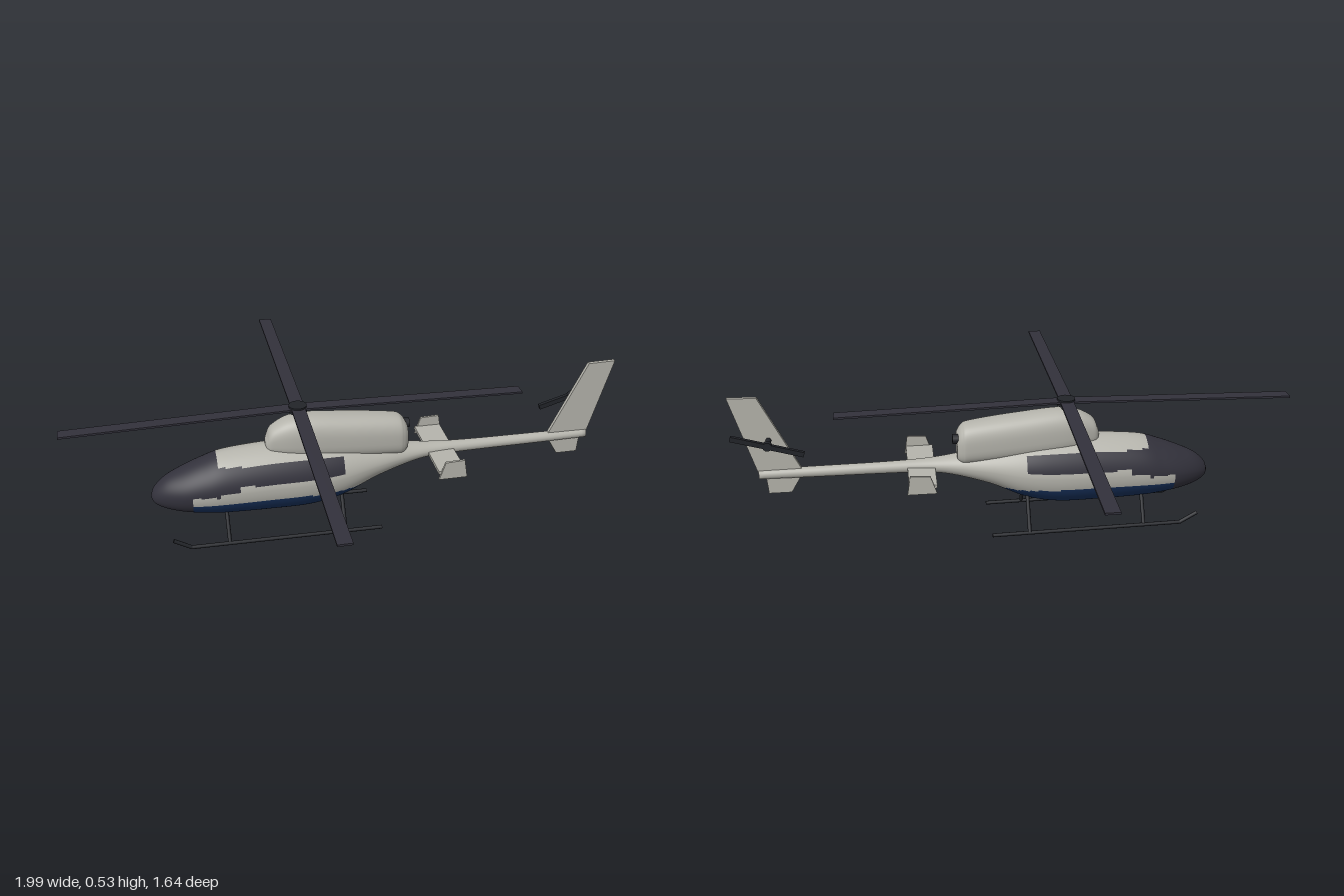
import * as THREE from 'three';

const mat = (name, color) => Object.assign(new THREE.MeshStandardMaterial({ color }), { name });

// Smooth hull through cross-sections [x, top, bottom, halfWidth]; paint() picks a material index per face
function loft(stations, steps, sides, upperPower, lowerPower, paint = () => 0) {
  const heights = new THREE.CatmullRomCurve3(stations.map(([x, t, b]) => new THREE.Vector3(x, t, b)), false, 'catmullrom', 0.5);
  const widths = new THREE.CatmullRomCurve3(stations.map(([x, , , w]) => new THREE.Vector3(x, w, 0)), false, 'catmullrom', 0.5);
  const pos = [], faces = [[], [], []];
  const bend = (v, p) => Math.sign(v) * Math.abs(v) ** (2 / p);
  for (let i = 0; i <= steps; i++) {
    const h = heights.getPoint(i / steps), w = widths.getPoint(i / steps).y;
    for (let j = 0; j < sides; j++) {
      const a = (j / sides) * Math.PI * 2, p = Math.sin(a) >= 0 ? upperPower : lowerPower;
      pos.push(h.x, (h.y + h.z) / 2 + bend(Math.sin(a), p) * (h.y - h.z) / 2, bend(Math.cos(a), p) * w);
    }
  }
  const first = stations[0], last = stations[stations.length - 1];
  const c0 = pos.length / 3, c1 = c0 + 1;
  for (const s of [first, last]) pos.push(s[0], (s[1] + s[2]) / 2, 0);
  const add = (...ids) => {
    const mean = (k) => ids.reduce((sum, id) => sum + pos[id * 3 + k], 0) / ids.length;
    const list = faces[paint(mean(0), mean(1), mean(2))];
    list.push(ids[0], ids[1], ids[2]);
    if (ids.length === 4) list.push(ids[0], ids[2], ids[3]);
  };
  for (let j = 0; j < sides; j++) {
    const k = (j + 1) % sides, e = steps * sides;
    for (let i = 0; i < steps; i++) add(i * sides + j, (i + 1) * sides + j, (i + 1) * sides + k, i * sides + k);
    add(c0, j, k);
    add(c1, e + k, e + j);
  }
  const geo = new THREE.BufferGeometry();
  geo.setAttribute('position', new THREE.Float32BufferAttribute(pos, 3));
  geo.setIndex(faces.flat());
  let start = 0;
  faces.forEach((f, m) => { if (f.length) geo.addGroup(start, f.length, m); start += f.length; });
  geo.computeVertexNormals();
  return geo;
}

// Flat plate cut in the xy plane, centred on z = 0
function plate(points, depth) {
  const shape = new THREE.Shape(points.map(([x, y]) => new THREE.Vector2(x, y)));
  return new THREE.ExtrudeGeometry(shape, { depth, bevelEnabled: false }).translate(0, 0, -depth / 2);
}

export function createModel() {
  const model = new THREE.Group();
  const grey = mat('light grey paint', 0xb5b4ac);
  const charcoal = mat('charcoal glass and blades', 0x32313b);
  const navy = mat('navy paint', 0x17305a);
  const black = mat('black metal', 0x222429);

  const put = (name, geo, material, x = 0, y = 0, z = 0, parent = model) => {
    const mesh = new THREE.Mesh(geo, material);
    mesh.name = name;
    mesh.position.set(x, y, z);
    parent.add(mesh);
    return mesh;
  };
  const rod = (name, from, to, r, material) => {
    const a = new THREE.Vector3(...from), b = new THREE.Vector3(...to), d = b.clone().sub(a);
    const mesh = put(name, new THREE.CylinderGeometry(r, r, d.length(), 12), material);
    mesh.position.copy(a).add(b).multiplyScalar(0.5);
    mesh.quaternion.setFromUnitVectors(new THREE.Vector3(0, 1, 0), d.normalize());
  };

  // Cabin and tail boom: glazed nose, side windows, navy belly
  const paintBody = (x, y) => {
    if (x < -0.57) return 1;
    if (x < -0.475 && y > 0.198) return 1;
    if (x < -0.405 && y > 0.212 && y < 0.293) return 1;
    if (x < -0.035 && y > 0.232 && y < 0.293) return 1;
    return x < 0.1 && y < 0.163 ? 2 : 0;
  };
  put('fuselage', loft([
    [-0.713, 0.174, 0.164, 0.005], [-0.7, 0.205, 0.142, 0.03], [-0.66, 0.241, 0.122, 0.06],
    [-0.6, 0.27, 0.107, 0.087], [-0.53, 0.298, 0.096, 0.103], [-0.45, 0.322, 0.088, 0.112],
    [-0.3, 0.335, 0.083, 0.115], [-0.15, 0.335, 0.084, 0.114], [-0.03, 0.325, 0.109, 0.103],
    [0.1, 0.301, 0.168, 0.075], [0.25, 0.277, 0.211, 0.04], [0.36, 0.268, 0.22, 0.026],
    [0.5, 0.264, 0.222, 0.021], [0.7, 0.262, 0.223, 0.02], [0.913, 0.26, 0.225, 0.018],
  ], 168, 96, 1.8, 2.1, paintBody), [grey, charcoal, navy]);

  // Engine cowl and exhaust
  put('engineCowl', loft([
    [-0.3, 0.345, 0.32, 0.012], [-0.294, 0.365, 0.315, 0.03], [-0.27, 0.405, 0.3, 0.045],
    [-0.18, 0.438, 0.28, 0.062], [0, 0.425, 0.265, 0.066], [0.16, 0.405, 0.255, 0.062],
    [0.195, 0.392, 0.255, 0.056], [0.212, 0.368, 0.268, 0.043], [0.214, 0.36, 0.273, 0.038],
  ], 64, 48, 2.5, 3), [grey]);
  rod('exhaust', [0.19, 0.35, -0.022], [0.23, 0.35, -0.022], 0.018, black);

  // Main rotor: four drooping blades
  const rotor = new THREE.Group();
  rotor.name = 'mainRotor';
  rotor.position.set(-0.18, 0, 0);
  model.add(rotor);
  put('mast', new THREE.CylinderGeometry(0.017, 0.017, 0.05, 20), black, 0, 0.45, 0, rotor);
  put('hub', new THREE.CylinderGeometry(0.032, 0.032, 0.026, 24), black, 0, 0.464, 0, rotor);
  for (let i = 0; i < 4; i++) {
    const arm = new THREE.Group();
    arm.name = 'bladeArm';
    arm.rotation.y = (i * Math.PI) / 2;
    rotor.add(arm);
    put('rotorBlade', new THREE.BoxGeometry(0.81, 0.007, 0.048), charcoal, 0.415, 0.459, 0, arm).rotation.z = -0.022;
  }

  // Tail fins
  put('upperFin', plate([[0.76, 0.25], [0.915, 0.25], [0.995, 0.535], [0.895, 0.533]], 0.014), grey);
  put('lowerFin', plate([[0.765, 0.235], [0.805, 0.168], [0.885, 0.168], [0.89, 0.235]], 0.014), grey);

  // Tail rotor on the right side
  rod('tailRotorShaft', [0.868, 0.374, 0], [0.868, 0.374, -0.064], 0.01, black);
  rod('tailRotorHub', [0.868, 0.374, -0.047], [0.868, 0.374, -0.066], 0.016, black);
  put('tailRotorBlades', new THREE.BoxGeometry(0.255, 0.018, 0.014), black, 0.868, 0.374, -0.059).rotation.z = 0.287;

  // Stabiliser with end plates
  put('stabiliser', new THREE.BoxGeometry(0.098, 0.012, 0.34), grey, 0.343, 0.24, 0);
  const endPlate = plate([[0.295, 0.215], [0.398, 0.215], [0.387, 0.284], [0.317, 0.281]], 0.009);

  // Paired parts: end plates, skids and struts
  for (const s of [1, -1]) {
    put('endPlate', endPlate, grey, 0, 0, s * 0.17);
    const z = s * 0.127;
    rod('skidTube', [-0.59, 0.018, z], [0.1, 0.009, z], 0.007, black);
    rod('skidToe', [-0.588, 0.017, z], [-0.652, 0.054, z], 0.007, black);
    put('skidBend', new THREE.SphereGeometry(0.007, 12, 8), black, -0.589, 0.018, z);
    for (const x of [-0.455, -0.035]) rod('skidStrut', [x, 0.014, z], [x, 0.13, s * 0.055], 0.007, black);
  }
  return model;
}
